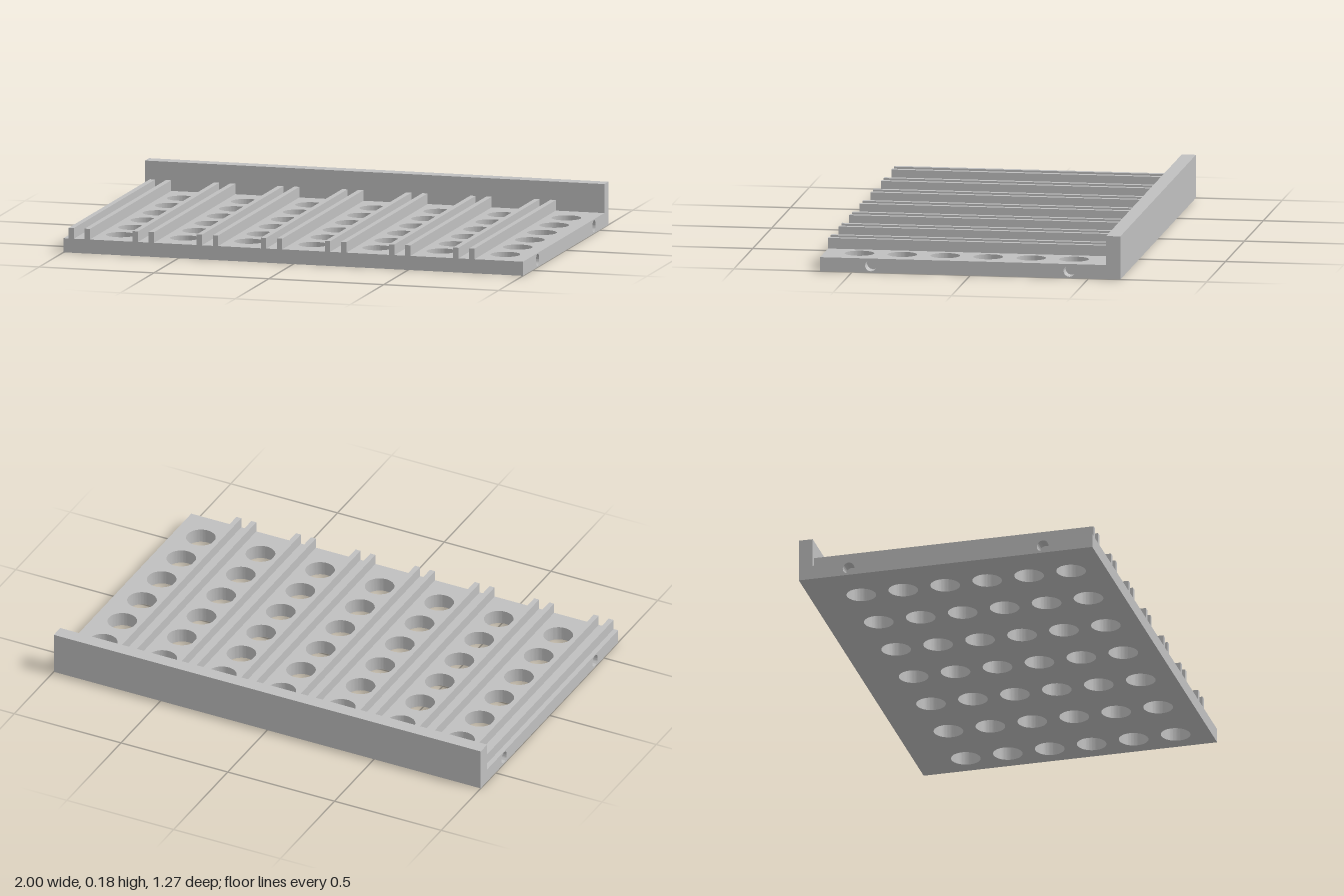
import * as THREE from 'three';
import { toCreasedNormals } from 'three/addons/utils/BufferGeometryUtils.js';

const HALF_W = 1, HALF_D = 0.635, PLATE_H = 0.06;
const CAP = 0.055;            // depth of the blind holes in the two ends
const PITCH = 0.279;          // spacing of hole columns and rib pairs
const WALL_T = 0.06, WALL_H = 0.183;

function rectShape(x0, y0, x1, y1) {
  const s = new THREE.Shape();
  s.moveTo(x0, y0).lineTo(x1, y0).lineTo(x1, y1).lineTo(x0, y1).closePath();
  return s;
}

function addHole(shape, x, y, r) {
  const p = new THREE.Path();
  p.absarc(x, y, r, 0, Math.PI * 2, true);
  shape.holes.push(p);
}

function extrude(shape, depth) {
  const g = new THREE.ExtrudeGeometry(shape, { depth, bevelEnabled: false, curveSegments: 32 });
  return toCreasedNormals(g, Math.PI / 6);
}

export function createModel() {
  const group = new THREE.Group();
  const grey = new THREE.MeshStandardMaterial({ color: 0xc0c0c0 });
  grey.name = 'light grey';

  const add = (name, geometry, x = 0, y = 0, z = 0) => {
    const m = new THREE.Mesh(geometry, grey);
    m.name = name;
    m.position.set(x, y, z);
    group.add(m);
  };

  // Perforated base plate: seven columns of six round holes
  const plate = rectShape(-HALF_W + CAP, -HALF_D, HALF_W - CAP, HALF_D);
  for (let c = 0; c < 7; c++) {
    for (let r = 0; r < 6; r++) {
      addHole(plate, -0.794 + c * PITCH, 0.42 - r * 0.1815, 0.062);
    }
  }
  add('basePlate', extrude(plate, PLATE_H).rotateX(-Math.PI / 2));

  // End strips of the plate, each with two blind holes
  const end = rectShape(-HALF_D, 0, HALF_D, PLATE_H);
  for (const s of [-0.42, 0.42]) addHole(end, s, 0.031, 0.025);
  const endGeometry = extrude(end, CAP).rotateY(Math.PI / 2);
  add('leftEnd', endGeometry, HALF_W - CAP);
  add('rightEnd', endGeometry, -HALF_W);

  // Raised wall along the back
  add('backWall', new THREE.BoxGeometry(2 * HALF_W, WALL_H - PLATE_H, WALL_T),
    0, (WALL_H + PLATE_H) / 2, -HALF_D + WALL_T / 2);

  // Seven pairs of guide ribs running from the wall to the front edge
  const ribH = 0.045, ribD = 2 * HALF_D - WALL_T;
  const rib = new THREE.BoxGeometry(0.023, ribH, ribD);
  for (let i = 0; i < 7; i++) {
    for (const x of [-0.967, -0.897]) {
      add('guideRib', rib, x + i * PITCH, PLATE_H + ribH / 2, WALL_T / 2);
    }
  }
  return group;
}
